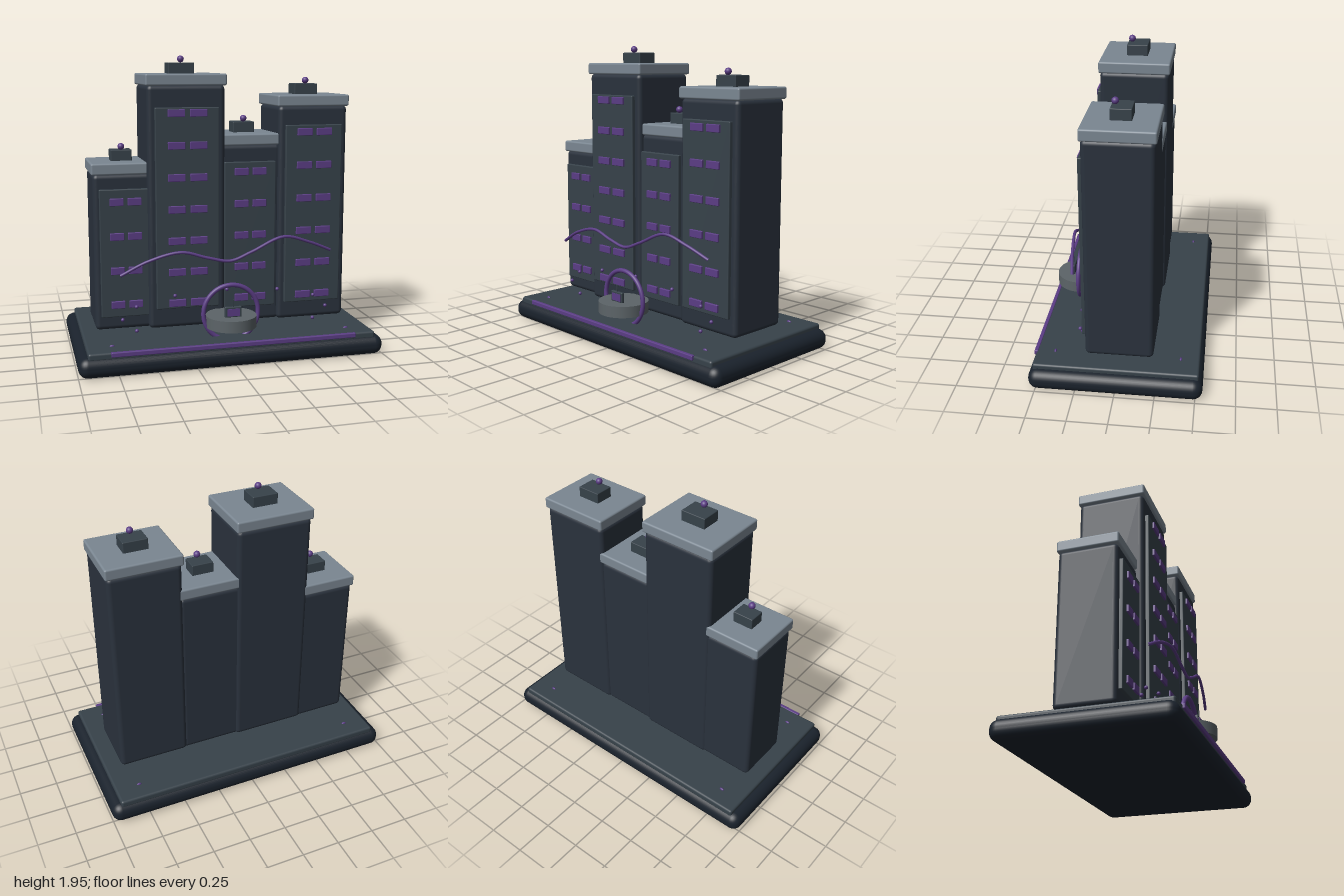
import * as THREE from 'three';
import { RoundedBoxGeometry } from 'three/addons/geometries/RoundedBoxGeometry.js';

const paint = (color) => new THREE.MeshStandardMaterial({ color });
const mats = {
  base: paint(0x1a222c), slate: paint(0x37424a), wall: paint(0x2a323d),
  roof: paint(0x7b8792), stone: paint(0x5c6468), purple: paint(0x5b3d85),
};

export function createModel() {
  const model = new THREE.Group();
  model.name = 'cityBlock';

  const add = (parent, name, geometry, mat, x, y, z) => {
    const mesh = new THREE.Mesh(geometry, mats[mat]);
    mesh.name = name;
    mesh.position.set(x, y, z);
    parent.add(mesh);
    return mesh;
  };
  // Box given by centre x, bottom and top y, back and front z
  const box = (parent, name, mat, x, w, y0, y1, z0, z1, r = 0) => {
    const h = y1 - y0, d = z1 - z0;
    const geo = r ? new RoundedBoxGeometry(w, h, d, 4, r) : new THREE.BoxGeometry(w, h, d);
    return add(parent, name, geo, mat, x, (y0 + y1) / 2, (z0 + z1) / 2);
  };
  const ball = (parent, name, r, x, y, z) =>
    add(parent, name, new THREE.SphereGeometry(r, 20, 14), 'purple', x, y, z);

  // Ground
  box(model, 'base', 'base', 0, 2, 0, 0.13, -0.545, 0.545, 0.06);
  box(model, 'plaza', 'slate', 0, 1.88, 0.11, 0.16, -0.52, 0.52, 0.015);
  box(model, 'frontStrip', 'purple', 0, 1.6, 0.132, 0.163, 0.51, 0.535, 0.006);
  for (const x of [-0.78, 0.78]) {
    for (const z of [-0.4, 0.4]) {
      ball(model, 'groundLight', 0.016, x, 0.16, z).scale.set(1, 0.6, 0.5);
    }
  }

  // Towers: walls, facade panel with window pairs, roof slab, roof hut and beacon
  const towers = [
    { x: -0.65, w: 0.405, top: 1.21, back: -0.225, front: 0.16, panel: [0.28, 1.115], rows: 4, last: 1.035, hutZ: -0.03 },
    { x: -0.255, w: 0.507, top: 1.77, back: -0.235, front: 0.21, panel: [0.325, 1.63], rows: 7, last: 1.595, hutZ: -0.015 },
    { x: 0.172, w: 0.425, top: 1.38, back: -0.22, front: 0.175, panel: [0.295, 1.27], rows: 5, last: 1.207, hutZ: -0.025 },
    { x: 0.602, w: 0.475, top: 1.63, back: -0.23, front: 0.2, panel: [0.31, 1.505], rows: 6, last: 1.46, hutZ: -0.015 },
  ];
  for (const t of towers) {
    const g = new THREE.Group();
    g.name = 'tower';
    model.add(g);
    box(g, 'walls', 'wall', t.x, t.w, 0.19, t.top, t.back, t.front, 0.03);
    box(g, 'facadePanel', 'slate', t.x, t.w * 0.82, ...t.panel, t.front - 0.01, t.front + 0.024, 0.006);
    box(g, 'roofSlab', 'roof', t.x, t.w + 0.02, t.top - 0.005, t.top + 0.07, t.back - 0.008, t.front + 0.008, 0.012);
    const hutW = t.w * 0.34, hutD = t.w * 0.27;
    box(g, 'roofHut', 'slate', t.x, hutW, t.top + 0.065, t.top + 0.14, t.hutZ - hutD / 2, t.hutZ + hutD / 2, 0.005);
    ball(g, 'beacon', 0.022, t.x, t.top + 0.162, t.hutZ + 0.042);
    for (let i = 0; i < t.rows; i++) {
      const y = 0.363 + (t.last - 0.363) * i / (t.rows - 1);
      for (const side of [-1, 1]) {
        box(g, 'window', 'purple', t.x + side * t.w * 0.142, t.w * 0.22, y - 0.024, y + 0.024,
          t.front + 0.015, t.front + 0.038, 0.004);
      }
    }
  }

  // Round plinth with a hoop and a small marker
  add(model, 'plinth', new THREE.CylinderGeometry(0.165, 0.165, 0.075, 48), 'stone', 0, 0.26, 0.36);
  add(model, 'hoop', new THREE.TorusGeometry(0.183, 0.015, 14, 64), 'purple', 0, 0.31, 0.355);
  box(model, 'marker', 'slate', 0, 0.11, 0.295, 0.365, 0.4, 0.422, 0.006);
  box(model, 'markerFace', 'purple', 0, 0.08, 0.305, 0.352, 0.412, 0.427);
  add(model, 'markerPin', new THREE.CylinderGeometry(0.004, 0.004, 0.05, 8), 'slate', 0, 0.385, 0.415);

  // Arch of small floating lights
  const lights = [[0.69, 0.28], [0.6, 0.36], [0.6, 0.2], [0.347, 0.417]];
  for (const [x, y] of lights) {
    for (const side of [-1, 1]) ball(model, 'floatingLight', 0.012, side * x, y, 0.253);
  }
  ball(model, 'floatingLight', 0.012, 0, 0.437, 0.253);

  // Wavy ribbon across the front
  const path = [
    [-0.705, 0.58, 0.294], [-0.53, 0.67, 0.32], [-0.32, 0.72, 0.336], [-0.15, 0.677, 0.343], [0, 0.65, 0.345],
    [0.14, 0.7, 0.342], [0.36, 0.788, 0.334], [0.54, 0.742, 0.318], [0.7, 0.675, 0.294],
  ].map((p) => new THREE.Vector3(...p));
  add(model, 'ribbon', new THREE.TubeGeometry(new THREE.CatmullRomCurve3(path), 96, 0.01, 10), 'purple', 0, 0, 0);

  return model;
}
